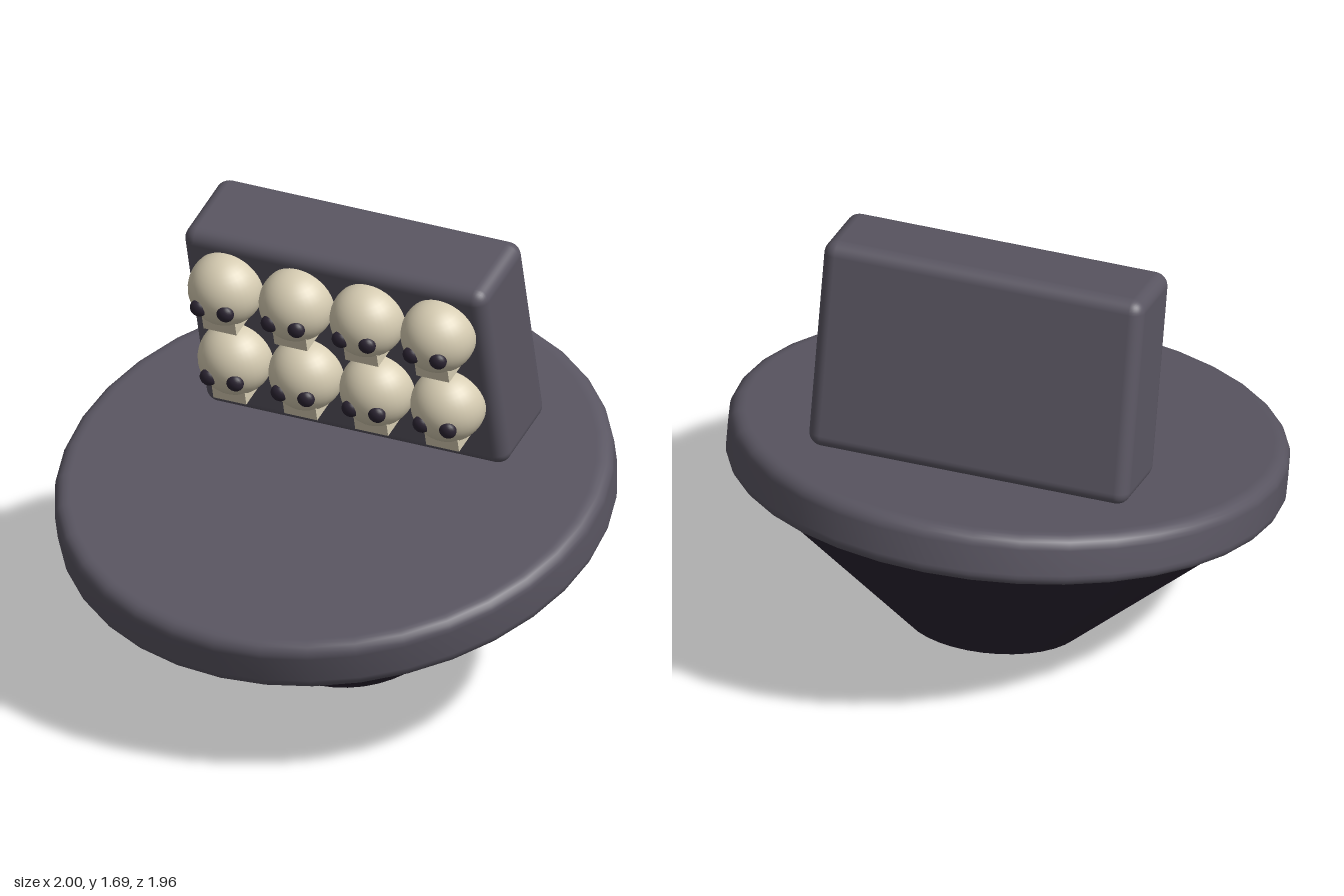
import * as THREE from 'three';
import { RoundedBoxGeometry } from 'three/addons/geometries/RoundedBoxGeometry.js';

const material = (name, color) => {
  const m = new THREE.MeshStandardMaterial({ color });
  m.name = name;
  return m;
};

const stone = material('grey stone', 0x5a5662);
const dark = material('dark violet', 0x2b2432);
const bone = material('bone', 0xd6ccb2);

function addMesh(parent, name, geometry, mat, x = 0, y = 0, z = 0) {
  const mesh = new THREE.Mesh(geometry, mat);
  mesh.name = name;
  mesh.position.set(x, y, z);
  parent.add(mesh);
  return mesh;
}

// Disc with rounded rims, as a lathe from the bottom centre to the top centre
function discGeometry(radius, bottom, top, bevel) {
  const pts = [new THREE.Vector2(0, bottom), new THREE.Vector2(radius - bevel - 0.01, bottom)];
  for (const [cy, start] of [[bottom + bevel, -Math.PI / 2], [top - bevel, 0]]) {
    for (let i = 0; i <= 5; i++) {
      const a = start + (i / 5) * Math.PI / 2;
      pts.push(new THREE.Vector2(radius - bevel + Math.cos(a) * bevel, cy + Math.sin(a) * bevel));
    }
  }
  pts.push(new THREE.Vector2(radius - bevel - 0.01, top), new THREE.Vector2(0, top));
  return new THREE.LatheGeometry(pts, 36);
}

const headGeometry = new THREE.SphereGeometry(0.136, 32, 20);
const eyeGeometry = new THREE.SphereGeometry(0.033, 16, 12);
const jawGeometry = new THREE.BoxGeometry(0.13, 0.075, 0.12);

function createSkull() {
  const skull = new THREE.Group();
  skull.name = 'skull';
  addMesh(skull, 'cranium', headGeometry, bone);
  addMesh(skull, 'jaw', jawGeometry, bone, 0, -0.1, 0.025);
  for (const side of [-1, 1]) {
    const eye = addMesh(skull, side > 0 ? 'leftEyeSocket' : 'rightEyeSocket', eyeGeometry, dark, side * 0.052, -0.012, 0.12);
    eye.scale.z = 0.8;
  }
  return skull;
}

export function createModel() {
  const model = new THREE.Group();
  model.name = 'tiltedSkullPlatform';

  // Everything leans forward together
  const tilted = new THREE.Group();
  tilted.name = 'tiltedBody';
  tilted.rotation.x = 0.25;
  model.add(tilted);

  // Round platform on an inverted cone
  addMesh(tilted, 'platform', discGeometry(1, 0.59, 0.787, 0.05), stone, 0, 0, -0.172);
  addMesh(tilted, 'cone', new THREE.CylinderGeometry(0.945, 0.318, 0.56, 36), dark, 0, 0.316, -0.172);

  // Upright block
  addMesh(tilted, 'block', new RoundedBoxGeometry(1.195, 0.792, 0.348, 4, 0.05), stone, 0, 1.181, -0.528);

  // Two rows of four skulls on the front of the block
  for (const y of [1.073, 1.393]) {
    for (let i = 0; i < 4; i++) {
      const skull = createSkull();
      skull.position.set((i - 1.5) * 0.28, y, -0.322);
      tilted.add(skull);
    }
  }
  return model;
}
